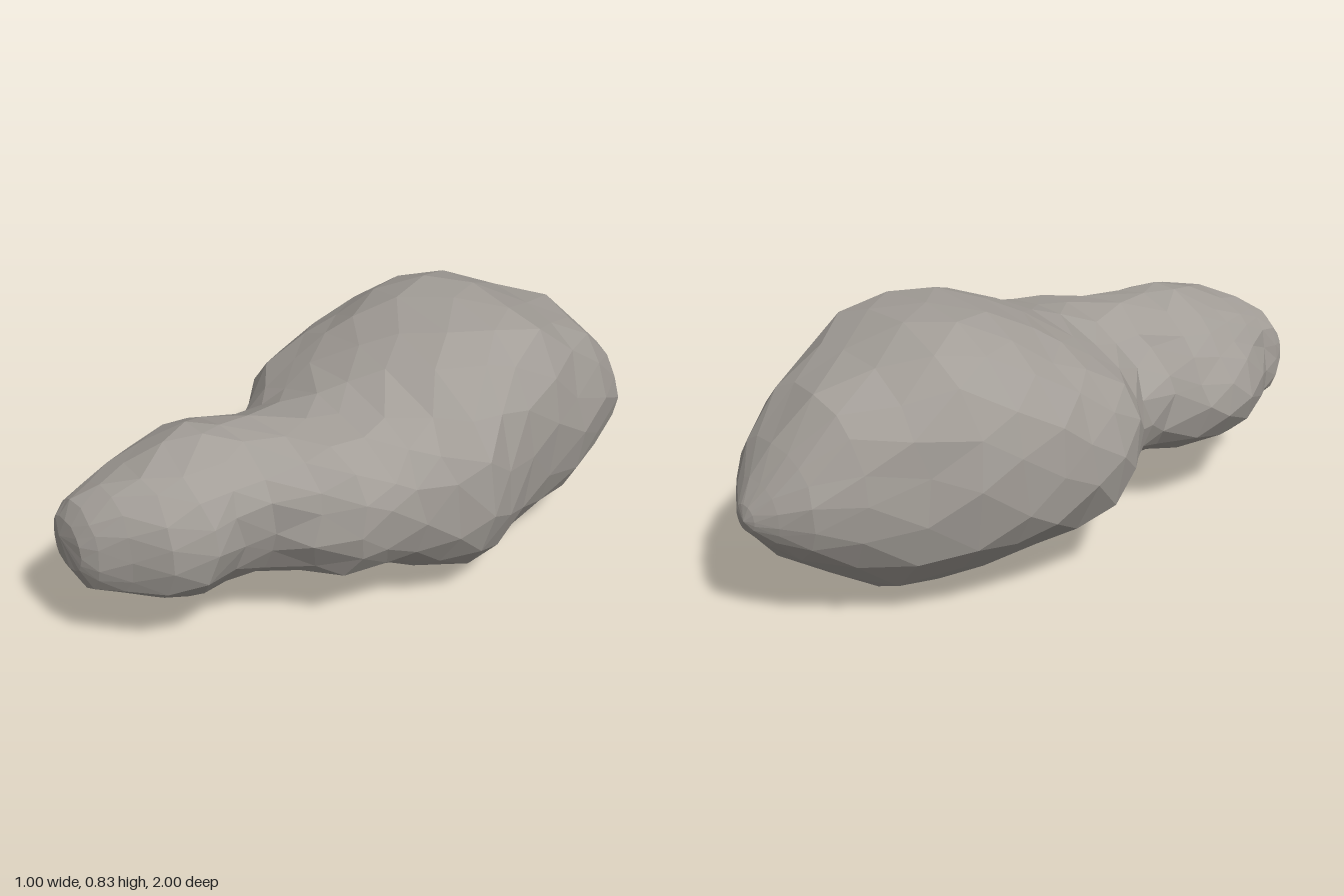
import * as THREE from 'three';

// Cross-sections along the long axis: z, xMin, xMax, yMin, yMax
const SECTIONS = [
  [-0.985, -0.085, 0.01, 0.32, 0.40],
  [-0.94, -0.145, 0.085, 0.27, 0.46],
  [-0.87, -0.22, 0.185, 0.20, 0.55],
  [-0.75, -0.295, 0.255, 0.115, 0.68],
  [-0.60, -0.375, 0.315, 0.045, 0.745],
  [-0.46, -0.45, 0.36, 0.01, 0.815],
  [-0.33, -0.485, 0.395, 0.0, 0.835],
  [-0.21, -0.50, 0.445, 0.02, 0.82],
  [-0.10, -0.495, 0.49, 0.045, 0.785],
  [0.01, -0.485, 0.455, 0.08, 0.745],
  [0.11, -0.44, 0.42, 0.115, 0.70],
  [0.20, -0.37, 0.405, 0.14, 0.675],
  [0.30, -0.295, 0.39, 0.16, 0.665],
  [0.40, -0.295, 0.325, 0.18, 0.665],
  [0.50, -0.34, 0.25, 0.18, 0.675],
  [0.60, -0.345, 0.22, 0.18, 0.69],
  [0.70, -0.335, 0.235, 0.185, 0.665],
  [0.80, -0.29, 0.185, 0.20, 0.635],
  [0.89, -0.24, 0.10, 0.235, 0.595],
  [0.96, -0.21, 0.03, 0.255, 0.54],
  [0.99, -0.19, -0.02, 0.32, 0.485],
];
const SIDES = 17;

// Local hollows (negative) and swellings (positive): x, y, z, radius, amount
const DENTS = [
  // Upper left of the head and neck
  [-0.26, 0.60, 0.78, 0.24, -0.045],
  [-0.27, 0.60, 0.52, 0.24, -0.045],
  [-0.24, 0.62, 0.25, 0.22, -0.045],
  // Lower left cheek and the hollow beside the front tip
  [-0.32, 0.29, 0.62, 0.20, 0.018],
  [-0.24, 0.42, 0.92, 0.11, -0.025],
  // Crease on the right between head and neck
  [0.25, 0.32, 0.50, 0.16, -0.025],
  // Upper right of the neck
  [0.32, 0.60, 0.22, 0.20, 0.02],
  // Shoulders of the body
  [0.30, 0.74, -0.42, 0.30, 0.03],
  [-0.36, 0.68, -0.08, 0.25, -0.015],
  // Lower flanks of the body
  [-0.30, 0.07, -0.32, 0.28, -0.035],
  [-0.46, 0.30, 0.03, 0.20, 0.025],
  [0.42, 0.20, -0.15, 0.28, 0.015],
];

function seeded(seed) {
  return () => {
    seed = (seed * 16807) % 2147483647;
    return seed / 2147483647;
  };
}

function buildRock() {
  const rand = seeded(9127);
  const jitter = (s) => (rand() * 2 - 1) * s;
  const fuller = (v, e) => Math.sign(v) * Math.abs(v) ** e;
  const pos = [];
  const index = [];

  // Rings of slightly irregular points, fuller above than below
  SECTIONS.forEach(([z, x0, x1, y0, y1], i) => {
    const cx = (x0 + x1) / 2, cy = (y0 + y1) / 2;
    const rx = (x1 - x0) / 2, ry = (y1 - y0) / 2;
    const size = Math.min(1, rx / 0.3);
    for (let j = 0; j < SIDES; j++) {
      const a = ((j + (i % 2) * 0.5 + jitter(0.22)) / SIDES) * Math.PI * 2;
      const k = 1.008 + jitter(0.012);
      const dx = Math.cos(a), dy = Math.sin(a);
      const e = dy > 0 ? 0.87 : 0.95;
      const p = new THREE.Vector3(
        cx + fuller(dx, e) * rx * k,
        cy + fuller(dy, e) * ry * k,
        z + jitter(0.02) * size * size
      );
      let push = 0;
      for (const [bx, by, bz, r, amount] of DENTS) {
        const d = p.distanceTo(new THREE.Vector3(bx, by, bz)) / r;
        if (d < 1) push += amount * (1 - d * d);
      }
      pos.push(
        THREE.MathUtils.clamp(p.x + dx * push, -0.5, 0.495),
        THREE.MathUtils.clamp(p.y + dy * push, 0, 0.835),
        p.z
      );
    }
  });

  // Skin between rings; every other ring is turned half a step
  for (let i = 0; i < SECTIONS.length - 1; i++) {
    for (let j = 0; j < SIDES; j++) {
      const n = (j + 1) % SIDES;
      const a = i * SIDES + j, b = i * SIDES + n;
      const c = a + SIDES, d = b + SIDES;
      if (i % 2) index.push(a, b, d, a, d, c);
      else index.push(a, b, c, b, d, c);
    }
  }

  // Pointed rear tip and blunt front tip
  const rear = pos.length / 3, front = rear + 1;
  pos.push(-0.05, 0.36, -1, -0.13, 0.42, 1);
  const last = (SECTIONS.length - 1) * SIDES;
  for (let j = 0; j < SIDES; j++) {
    const n = (j + 1) % SIDES;
    index.push(rear, n, j, front, last + j, last + n);
  }

  const indexed = new THREE.BufferGeometry();
  indexed.setAttribute('position', new THREE.Float32BufferAttribute(pos, 3));
  indexed.setIndex(index);
  const geometry = indexed.toNonIndexed();
  geometry.computeVertexNormals();
  return geometry;
}

export function createModel() {
  const stone = new THREE.MeshStandardMaterial({ color: 0xa39e98, flatShading: true });
  stone.name = 'stone grey';
  const rock = new THREE.Mesh(buildRock(), stone);
  rock.name = 'rockBody';
  const group = new THREE.Group();
  group.name = 'asteroid';
  group.add(rock);
  return group;
}
